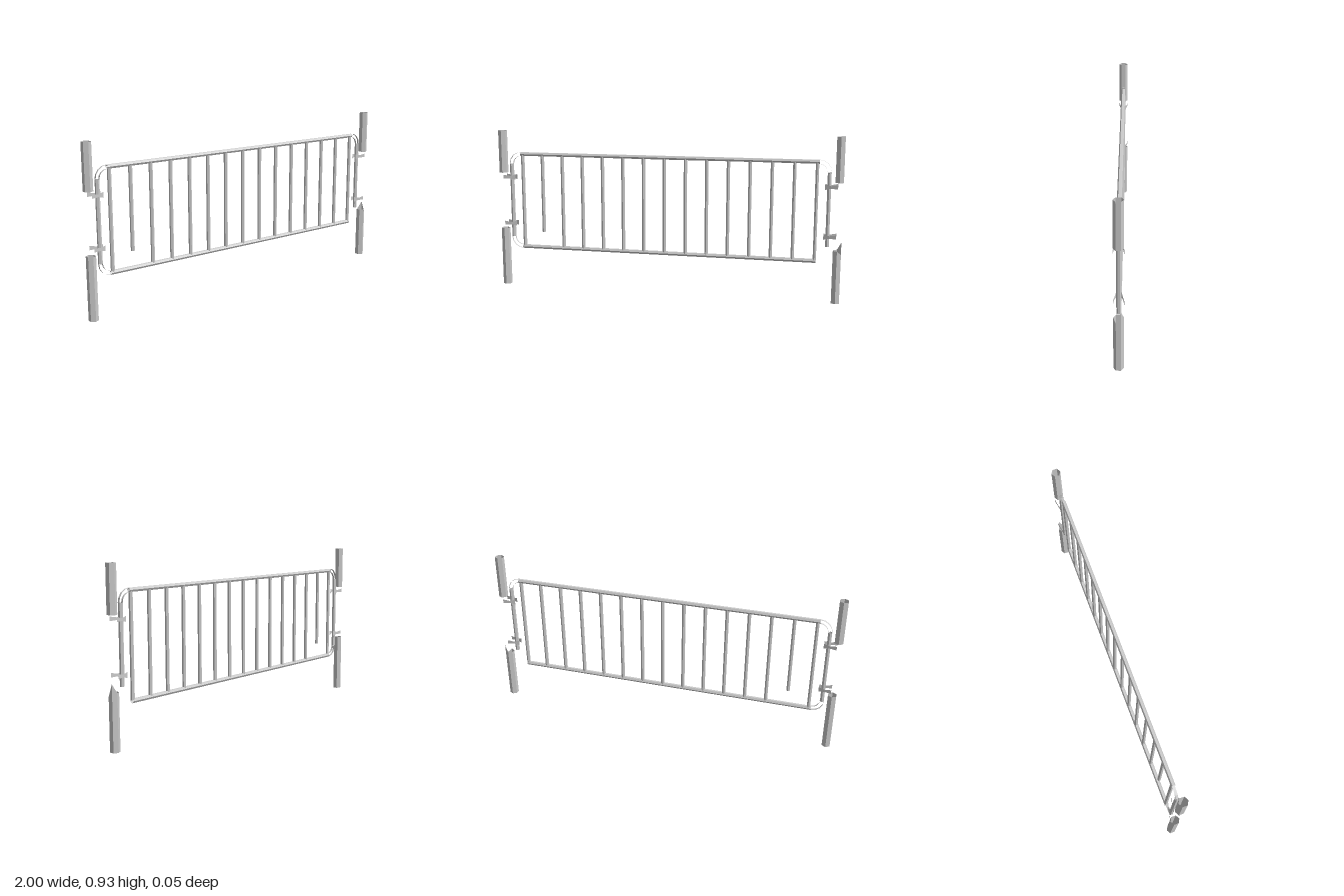
import * as THREE from 'three';

const material = new THREE.MeshStandardMaterial({
  color: 0xcccccc, flatShading: true, side: THREE.DoubleSide,
});

export function createModel() {
  const model = new THREE.Group();

  function add(name, geometry, x = 0, y = 0, z = 0) {
    const mesh = new THREE.Mesh(geometry, material);
    mesh.name = name;
    mesh.position.set(x, y, z);
    model.add(mesh);
    return mesh;
  }

  // Open six-sided pipe standing between two heights
  function pipe(name, radius, x, y0, y1) {
    const geometry = new THREE.CylinderGeometry(radius, radius, y1 - y0, 6, 1, true);
    return add(name, geometry, x, (y0 + y1) / 2);
  }

  // Horizontal pipe between two x positions
  function rail(name, y, x0, x1) {
    const geometry = new THREE.CylinderGeometry(0.012, 0.012, x1 - x0, 6, 1, true);
    geometry.rotateZ(Math.PI / 2);
    add(name, geometry, (x0 + x1) / 2, y);
  }

  // End posts, each split into an upper and a lower piece
  for (const side of [-1, 1]) {
    pipe('upperPost', 0.026, side * 0.977, 0.68, 0.93);
  }
  pipe('lowerPostRight', 0.026, -0.977, 0, 0.345);
  const broken = pipe('lowerPostLeft', 0.026, 0.977, 0, 0.345);

  // Torn top: only the outer rear edge keeps its full height
  const p = broken.geometry.attributes.position;
  for (let i = 0; i < p.count; i++) {
    if (p.getY(i) < 0) continue;
    const x = p.getX(i), z = p.getZ(i);
    const outerRear = x > 0.01 && z < 0;
    const outerFront = x > 0.01 && z > 0;
    const top = outerRear ? 0.345 : outerFront ? 0.28 : 0.3;
    p.setY(i, top - 0.345 / 2);
  }

  // Frame rails and uprights
  rail('topRail', 0.792, -0.868, 0.868);
  rail('bottomRail', 0.236, -0.868, 0.862);
  pipe('frameUprightRight', 0.012, -0.925, 0.295, 0.733);
  pipe('frameUprightLeft', 0.012, 0.922, 0.32, 0.733);

  // Rounded corners: an inner and an outer curved strip, open at the sides
  const corners = [[0.865, 0.734, 0], [-0.867, 0.734, 1], [-0.867, 0.294, 2]];
  for (const [x, y, quarter] of corners) {
    for (const radius of [0.047, 0.069]) {
      const strip = new THREE.CylinderGeometry(
        radius, radius, 0.012, 4, 1, true, Math.PI / 2, Math.PI / 2);
      strip.rotateX(Math.PI / 2);
      add('frameCorner', strip, x, y).rotation.z = quarter * Math.PI / 2;
    }
  }

  // Fifteen infill bars, the second one broken off short
  for (let i = 0; i < 15; i++) {
    pipe('infillBar', 0.0105, (i - 7) * 0.1222, i === 1 ? 0.33 : 0.24, 0.788);
  }

  // Pinched clip plates in front of and behind the frame uprights
  // Sections: x, z, lower and upper height from the clip centre
  const sections = [
    [0.9, 0.014, -0.015, 0.015],
    [0.932, 0.021, -0.006, 0.008],
    [0.97, 0.027, -0.008, 0.015],
  ];
  function clip(sx, sy, sz) {
    const points = [], index = [];
    sections.forEach(([x, z, low, high], i) => {
      points.push(x * sx, low * sy, z * sz, x * sx, high * sy, z * sz);
      const a = i * 2;
      if (i < sections.length - 1) index.push(a, a + 2, a + 1, a + 1, a + 2, a + 3);
    });
    const geometry = new THREE.BufferGeometry();
    geometry.setAttribute('position', new THREE.Float32BufferAttribute(points, 3));
    geometry.setIndex(index);
    geometry.computeVertexNormals();
    return geometry;
  }
  for (const sx of [-1, 1]) {
    for (const sz of [-1, 1]) {
      add('upperClip', clip(sx, 1, sz), 0, 0.654);
      add('lowerClip', clip(sx, 1, sz), 0, 0.376);
    }
  }

  return model;
}
